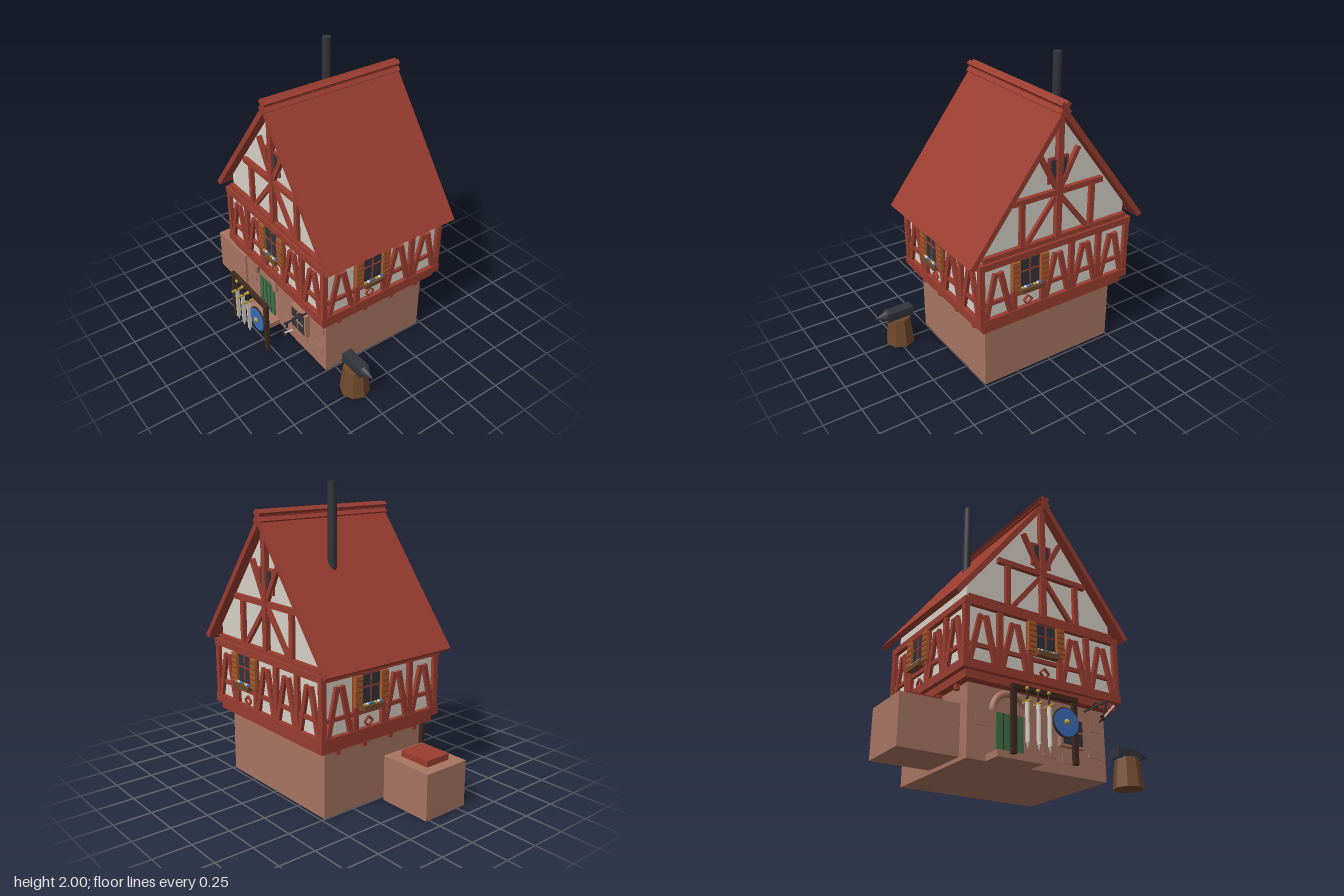
import * as THREE from 'three';

const M = {};
for (const [name, color] of Object.entries({
  redTimber: 0x9a3d30, plaster: 0xd6d0c6, stone: 0xa87562, iron: 0x33343c, gold: 0xb8963a,
  blue: 0x3a6db8, green: 0x3f7048, darkWood: 0x3f2a20, brownWood: 0x70492c, shutterWood: 0xa55e28,
})) { M[name] = new THREE.MeshStandardMaterial({ color }); M[name].name = name; }

function add(parent, name, geo, mat, x = 0, y = 0, z = 0) {
  const m = new THREE.Mesh(geo, mat);
  m.name = name;
  m.position.set(x, y, z);
  parent.add(m);
  return m;
}
// box given by its ranges on each axis
function box(parent, name, mat, x0, x1, y0, y1, z0, z1) {
  return add(parent, name, new THREE.BoxGeometry(x1 - x0, y1 - y0, z1 - z0), mat,
    (x0 + x1) / 2, (y0 + y1) / 2, (z0 + z1) / 2);
}
// straight beam between two points of the xy plane
function beam(parent, name, mat, ax, ay, bx, by, w, d, z = 0) {
  const m = add(parent, name, new THREE.BoxGeometry(Math.hypot(bx - ax, by - ay), w, d), mat,
    (ax + bx) / 2, (ay + by) / 2, z);
  m.rotation.z = Math.atan2(by - ay, bx - ax);
  return m;
}
function cyl(parent, name, mat, rTop, rBottom, h, sides, x, y, z) {
  const g = new THREE.CylinderGeometry(rTop, rBottom, h, sides);
  return add(parent, name, sides < 12 ? g.toNonIndexed() : g, mat, x, y, z);
}
function group(parent, name, x = 0, y = 0, z = 0, ry = 0) {
  const g = new THREE.Group();
  g.name = name;
  g.position.set(x, y, z);
  g.rotation.y = ry;
  parent.add(g);
  return g;
}

// window with shutters, flower box and diamond; local z = 0 is the plaster
function shutteredWindow(parent, x) {
  const g = group(parent, 'shutteredWindow', x);
  box(g, 'windowFrame', M.redTimber, -0.085, 0.085, 0.68, 0.9, 0, 0.02);
  box(g, 'windowPane', M.iron, -0.07, 0.07, 0.69, 0.885, 0.018, 0.026);
  box(g, 'mullion', M.redTimber, -0.004, 0.004, 0.69, 0.885, 0.024, 0.031);
  box(g, 'transom', M.redTimber, -0.07, 0.07, 0.806, 0.814, 0.024, 0.031);
  for (const s of [-1, 1]) {
    beam(g, 'shutter', M.shutterWood, s * 0.105, 0.695, s * 0.105, 0.89, 0.058, 0.02, 0.03);
    for (let i = 0; i < 5; i++)
      beam(g, 'shutterSlat', M.redTimber, s * 0.08, 0.72 + i * 0.036, s * 0.13, 0.72 + i * 0.036, 0.01, 0.008, 0.041);
  }
  box(g, 'flowerBox', M.brownWood, -0.078, 0.078, 0.67, 0.7, 0.02, 0.062);
  for (let i = 0; i < 7; i++)
    add(g, 'flower', new THREE.IcosahedronGeometry(0.011, 0),
      [M.gold, M.plaster, M.blue, M.green][i % 4], -0.066 + i * 0.022, 0.708, 0.045);
  const d = 0.032;
  [[0, d, d, 0], [d, 0, 0, -d], [0, -d, -d, 0], [-d, 0, 0, d]].forEach(([a, b, e, f]) =>
    beam(g, 'diamond', M.redTimber, a, 0.58 + b, e, 0.58 + f, 0.01, 0.014, 0.007));
}

// one timbered side of the upper floor
function timberSide(parent, name, posts, windowBay, half) {
  const g = group(parent, name);
  const D = 0.025, z = D / 2;
  box(g, 'bottomRail', M.redTimber, -half, half, 0.495, 0.55, -0.01, D + 0.005);
  box(g, 'topRail', M.redTimber, -half, half, 0.895, 0.938, -0.01, D + 0.005);
  beam(g, 'middleRail', M.redTimber, -half, 0.652, half, 0.652, 0.025, D - 0.006, z - 0.003);
  posts.forEach((x) => beam(g, 'post', M.redTimber, x, 0.54, x, 0.9, 0.036, D, z));
  for (let i = 0; i < posts.length - 1; i++) {
    const c = (posts[i] + posts[i + 1]) / 2;
    if (i === windowBay) { shutteredWindow(g, c); continue; }
    for (const s of [-1, 1])
      beam(g, 'bayBrace', M.redTimber, c + s * 0.09, 0.535, c + s * 0.018, 0.85, 0.032, D - 0.002 + s * 0.001, z);
  }
  return g;
}

// timber pattern of one gable
function gableFrame(parent, name) {
  const g = group(parent, name);
  const b = (n, ax, ay, bx, by, w, d) => beam(g, n, M.redTimber, ax, ay, bx, by, w, d, d / 2);
  b('gableSill', -0.54, 0.95, 0.54, 0.95, 0.04, 0.03);
  b('kingPost', 0, 0.95, 0, 1.76, 0.04, 0.034);
  b('collarBeam', -0.335, 1.262, 0.335, 1.262, 0.035, 0.03);
  box(g, 'gableWindowFrame', M.redTimber, -0.075, 0.075, 1.32, 1.485, 0, 0.012);
  box(g, 'gablePane', M.iron, -0.055, 0.055, 1.345, 1.468, 0.01, 0.018);
  for (const s of [-1, 1]) {
    b('gablePost', s * 0.26, 0.96, s * 0.26, 1.25, 0.034, 0.026);
    b('gableBrace', s * 0.225, 0.97, s * 0.01, 1.24, 0.03, 0.022);
    b('upperBrace', s * 0.005, 1.27, s * 0.14, 1.52, 0.03, 0.027);
  }
  return g;
}

function buildHouse(root) {
  const h = group(root, 'house', 0, 0, -0.078);
  box(h, 'stoneGroundFloor', M.stone, -0.495, 0.495, 0, 0.45, -0.4, 0.4);
  box(h, 'jettySill', M.redTimber, -0.545, 0.545, 0.445, 0.496, -0.46, 0.46);
  box(h, 'upperFloorPlaster', M.plaster, -0.545, 0.545, 0.496, 0.938, -0.455, 0.455);
  for (const s of [-1, 1])
    for (const z of [0.32, 0.11, -0.11, -0.32])
      box(h, 'joistEnd', M.redTimber, s * 0.52 - 0.014, s * 0.52 + 0.014, 0.412, 0.447, z - 0.014, z + 0.014);
  // upper floor timber
  const wide = [-0.555, -0.325, -0.11, 0.11, 0.325, 0.555];
  const deep = [-0.462, -0.21, 0.01, 0.235, 0.462];
  timberSide(h, 'frontTimber', wide, 2, 0.575).position.z = 0.455;
  const back = timberSide(h, 'backTimber', wide, 1, 0.575);
  back.position.z = -0.455; back.rotation.y = Math.PI;
  for (const s of [-1, 1]) {
    const side = timberSide(h, s > 0 ? 'leftTimber' : 'rightTimber', deep, 1, 0.484);
    side.position.x = s * 0.545; side.rotation.y = s * Math.PI / 2;
  }
  // gable block
  const shape = new THREE.Shape([[-0.54, 0.935], [0.54, 0.935], [0.54, 1.036], [0, 1.745], [-0.54, 1.036]]
    .map(([x, y]) => new THREE.Vector2(x, y)));
  add(h, 'gablePlaster', new THREE.ExtrudeGeometry(shape, { depth: 0.88, bevelEnabled: false }), M.plaster, 0, 0, -0.44);
  gableFrame(h, 'frontGable').position.z = 0.44;
  const bg = gableFrame(h, 'backGable');
  bg.position.z = -0.44; bg.rotation.y = Math.PI;
  // roof and ridge
  for (const s of [-1, 1]) {
    beam(h, 'roofSlope', M.redTimber, s * 0.637, 0.941, s * -0.012, 1.788, 0.035, 1.01);
    beam(h, 'ridgeTile', M.redTimber, s * 0.03, 1.76, s * -0.026, 1.827, 0.03, 1.016);
  }
  cyl(h, 'ridgePole', M.redTimber, 0.024, 0.024, 1.012, 8, 0, 1.797, 0).rotation.x = Math.PI / 2;
  cyl(h, 'chimneyPipe', M.iron, 0.028, 0.028, 0.68, 16, -0.227, 1.66, -0.118);
}

function buildEntrance(root) {
  const g = group(root, 'entrance', 0, 0, 0.322);
  box(g, 'doorStep', M.stone, -0.37, -0.065, 0, 0.04, -0.01, 0.123);
  box(g, 'door', M.green, -0.305, -0.12, 0.04, 0.297, 0, 0.01);
  for (const x of [-0.26, -0.213, -0.166]) box(g, 'doorGap', M.darkWood, x - 0.002, x + 0.002, 0.04, 0.297, 0.009, 0.012);
  add(g, 'doorArch', new THREE.TorusGeometry(0.122, 0.022, 8, 20, Math.PI), M.stone, -0.215, 0.297, 0.012);
  // small ground floor window
  box(g, 'stoneFrame', M.stone, 0.13, 0.31, 0.165, 0.35, 0, 0.034);
  box(g, 'groundPane', M.iron, 0.15, 0.292, 0.18, 0.335, 0.03, 0.038);
  box(g, 'groundMullion', M.stone, 0.217, 0.225, 0.18, 0.335, 0.034, 0.043);
  box(g, 'groundTransom', M.stone, 0.15, 0.292, 0.254, 0.262, 0.034, 0.043);
  // raised stones
  for (const [x, y, w] of [[0.02, 0.09, 0.1], [0.16, 0.07, 0.12], [0.36, 0.13, 0.1], [0.38, 0.3, 0.09], [0.06, 0.36, 0.1], [-0.44, 0.2, 0.08]])
    box(g, 'raisedStone', M.stone, x, x + w, y, y + 0.05, 0, 0.006);
  // hanging sign bracket with a small sword
  box(g, 'signArm', M.iron, 0.34, 0.35, 0.42, 0.43, 0, 0.225);
  const arc = add(g, 'signScroll', new THREE.TorusGeometry(0.038, 0.005, 6, 12, Math.PI), M.iron, 0.345, 0.41, 0.115);
  arc.rotation.y = Math.PI / 2;
  box(g, 'signHanger', M.iron, 0.34, 0.35, 0.385, 0.425, 0.198, 0.21);
  beam(g, 'signBlade', M.plaster, 0.32, 0.32, 0.41, 0.415, 0.01, 0.008, 0.204);
  beam(g, 'signGrip', M.darkWood, 0.292, 0.291, 0.32, 0.32, 0.01, 0.012, 0.204);
  beam(g, 'signGuard', M.iron, 0.306, 0.334, 0.334, 0.306, 0.008, 0.02, 0.204);
}

function buildRack(root) {
  const g = group(root, 'weaponRack', 0, 0, 0.53);
  for (const x of [-0.322, 0.098]) box(g, 'rackPost', M.darkWood, x - 0.015, x + 0.015, 0, 0.38, -0.013, 0.013);
  box(g, 'rackBar', M.darkWood, -0.34, 0.118, 0.37, 0.398, -0.015, 0.015);
  for (const x of [-0.245, -0.17, -0.095]) {
    const s = group(g, 'sword', x, 0, 0.022);
    box(s, 'blade', M.plaster, -0.005, 0.005, 0.07, 0.305, -0.014, 0.014);
    const tip = add(s, 'bladeTip', new THREE.ConeGeometry(0.014, 0.04, 4), M.plaster, 0, 0.05, 0);
    tip.rotation.x = Math.PI; tip.scale.x = 0.5;
    box(s, 'guard', M.gold, -0.006, 0.006, 0.3, 0.312, -0.045, 0.042);
    cyl(s, 'grip', M.darkWood, 0.006, 0.006, 0.066, 8, 0, 0.342, 0);
    add(s, 'pommel', new THREE.SphereGeometry(0.012, 10, 8), M.gold, 0, 0.382, 0);
  }
  // round shield
  cyl(g, 'shieldRim', M.iron, 0.09, 0.09, 0.012, 28, 0.02, 0.23, 0.02).rotation.x = Math.PI / 2;
  cyl(g, 'shieldFace', M.blue, 0.083, 0.083, 0.014, 28, 0.02, 0.23, 0.024).rotation.x = Math.PI / 2;
  add(g, 'shieldBoss', new THREE.SphereGeometry(0.018, 12, 8), M.gold, 0.02, 0.23, 0.032);
}

function buildForgeAndAnvil(root) {
  const f = group(root, 'forge');
  box(f, 'forgeBlock', M.stone, -0.91, -0.535, 0, 0.305, -0.025, 0.315);
  box(f, 'emberBed', M.redTimber, -0.835, -0.61, 0.3, 0.346, 0.05, 0.24);
  const a = group(root, 'anvilStand', 0.727, 0, 0.26);
  cyl(a, 'stump', M.brownWood, 0.078, 0.1, 0.195, 8, 0, 0.0975, 0);
  box(a, 'anvilBody', M.iron, -0.095, 0.092, 0.19, 0.255, -0.037, 0.037);
  const horn = add(a, 'anvilHorn', new THREE.ConeGeometry(0.037, 0.088, 8).toNonIndexed(), M.iron, 0.134, 0.23, 0);
  horn.rotation.z = -Math.PI / 2;
}

export function createModel() {
  const root = new THREE.Group();
  root.name = 'smithy';
  buildHouse(root);
  buildEntrance(root);
  buildRack(root);
  buildForgeAndAnvil(root);
  // faceted look for the low-sided parts
  root.traverse((o) => {
    if (o.isMesh && !o.geometry.index) o.geometry.computeVertexNormals();
  });
  return root;
}
